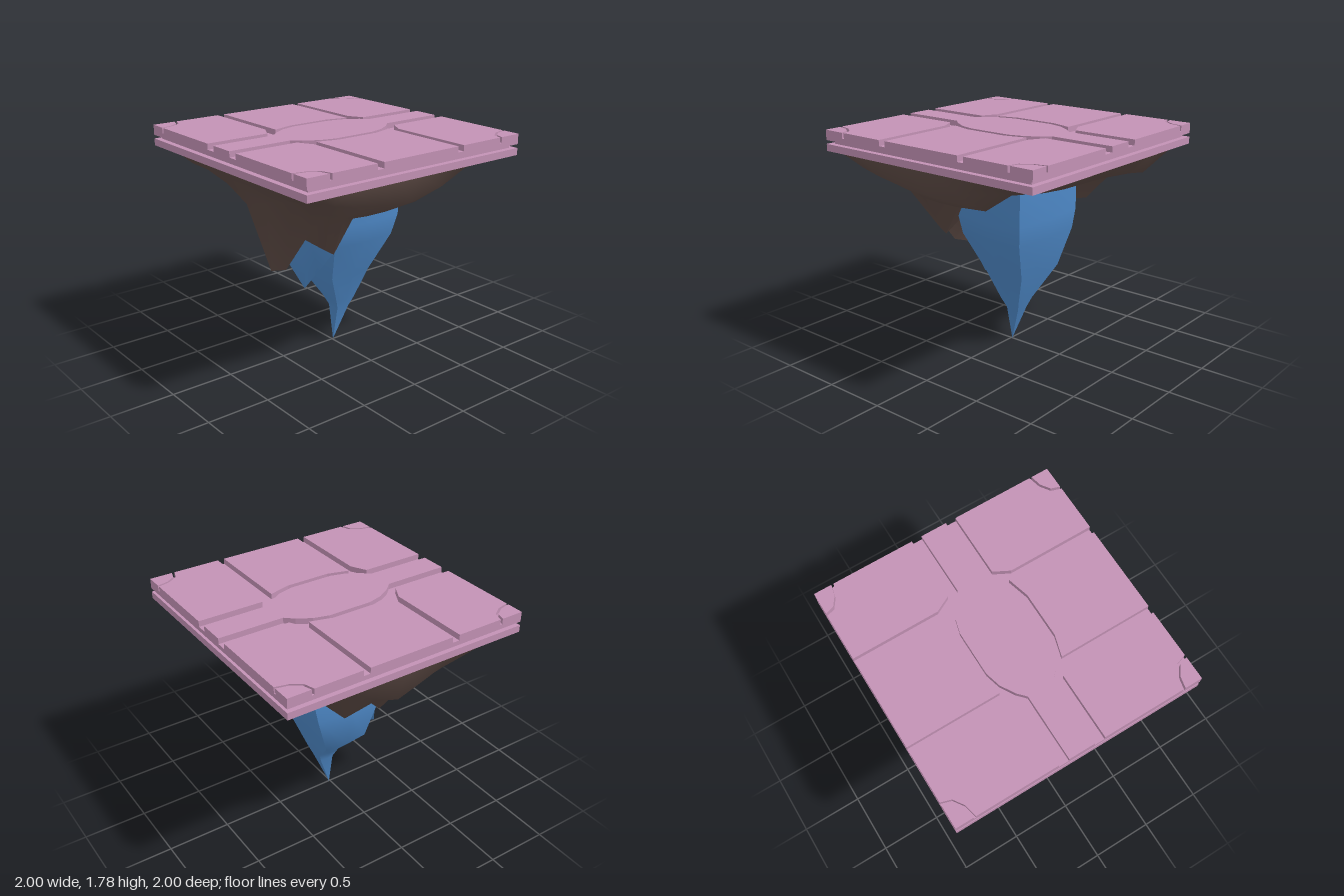
import * as THREE from 'three';
import { toCreasedNormals } from 'three/addons/utils/BufferGeometryUtils.js';

const stone = new THREE.MeshStandardMaterial({ color: 0xc392b5 });
const rock = new THREE.MeshStandardMaterial({ color: 0x5f4c46, side: THREE.DoubleSide });
const crystal = new THREE.MeshStandardMaterial({ color: 0x4f8bcb, side: THREE.DoubleSide });

const TOP = 1.785, GROOVE = 1.74, RIM = 1.62;

function add(group, name, geometry, material) {
  const mesh = new THREE.Mesh(geometry, material);
  mesh.name = name;
  group.add(mesh);
}

// Square layer between two heights
function slab(half, y0, y1) {
  return new THREE.BoxGeometry(half * 2, y1 - y0, half * 2).translate(0, (y0 + y1) / 2, 0);
}

// Raised paving stone from an outline of [x, z] points, mirrored by sx and sz
function paver(points, sx = 1, sz = 1) {
  const shape = new THREE.Shape(points.map(([x, z]) => new THREE.Vector2(x * sx, z * sz)));
  return new THREE.ExtrudeGeometry(shape, { depth: TOP - GROOVE, bevelEnabled: false })
    .rotateX(Math.PI / 2).translate(0, TOP, 0);
}

// Surface through a grid of points; rows may wrap round into a ring
function skin(rows, wrap, flip, crease) {
  const n = rows[0].length, index = [];
  for (let i = 0; i < rows.length - 1; i++) {
    for (let j = 0; j < (wrap ? n : n - 1); j++) {
      const k = (j + 1) % n;
      const a = i * n + j, b = i * n + k, c = a + n, d = b + n;
      if (flip) index.push(a, c, b, b, c, d);
      else index.push(a, b, c, b, d, c);
    }
  }
  const g = new THREE.BufferGeometry();
  g.setAttribute('position', new THREE.Float32BufferAttribute(rows.flat(2), 3));
  g.setIndex(index);
  return toCreasedNormals(g, crease);
}

// Crystal from rings of [y, xMin, xMax, zMin, zMax], top to tip;
// a roundness below 1 pushes the rings towards squares
function shard(rings, sides, roundness) {
  const bulge = (v) => Math.sign(v) * Math.abs(v) ** roundness;
  const rows = rings.map(([y, x0, x1, z0, z1]) =>
    Array.from({ length: sides }, (_, i) => {
      const t = (i / sides) * Math.PI * 2;
      return [
        (x0 + x1) / 2 + bulge(Math.cos(t)) * (x1 - x0) / 2, y,
        (z0 + z1) / 2 + bulge(Math.sin(t)) * (z1 - z0) / 2,
      ];
    }));
  return skin(rows, true, false, 1);
}

function buildPlatform() {
  const g = new THREE.Group();
  g.name = 'platform';
  add(g, 'lowerSlab', slab(1, RIM, 1.675), stone);
  add(g, 'recessedLayer', slab(0.955, 1.675, 1.705), stone);
  add(g, 'upperSlab', slab(1, 1.705, GROOVE), stone);

  // Central path with an oval in the middle
  const edge = [[0.105, -1], [0.105, -0.475], [0.165, -0.41], [0.23, -0.3], [0.262, -0.18],
    [0.262, 0.18], [0.23, 0.3], [0.165, 0.41], [0.105, 0.475], [0.105, 1]];
  const mirrored = edge.map(([x, z]) => [-x, z]).reverse();
  add(g, 'centrePath', paver([...edge, ...mirrored]), stone);

  const sideStone = [[1, -0.355], [0.257, -0.355], [0.305, -0.18], [0.305, 0.18],
    [0.257, 0.35], [1, 0.35]];
  const quarterStone = [[0.187, 1], [0.187, 0.475], [0.31, 0.41], [1, 0.41], [1, 0.795],
    [0.92, 0.82], [0.865, 0.9], [0.842, 1]];
  const cornerStone = [[1, 1], [1, 0.815], [0.93, 0.838], [0.88, 0.91], [0.86, 1]];
  for (const sx of [-1, 1]) {
    add(g, 'sideStone', paver(sideStone, sx), stone);
    for (const sz of [-1, 1]) {
      add(g, 'quarterStone', paver(quarterStone, sx, sz), stone);
      add(g, 'cornerStone', paver(cornerStone, sx, sz), stone);
    }
  }
  return g;
}

// Jagged underside, hollow around the crystal: heights of a coarse grid with a flat rim
function buildRock() {
  const xs = [-0.955, -0.86, -0.62, -0.42, -0.1, 0.1, 0.42, 0.64, 0.91, 0.955];
  const zs = [0.95, 0.88, 0.7, 0.53, 0.4, 0.32, 0.18, 0, -0.29, -0.53, -0.82, -0.945];
  const heights = [
    [1.57, 1.53, 1.53, 1.53, 1.53, 1.53, 1.53, 1.58],
    [1.50, 1.43, 1.38, 1.35, 1.35, 1.43, 1.46, 1.52],
    [1.47, 1.33, 1.18, 0.71, 0.78, 1.18, 1.36, 1.48],
    [1.45, 1.23, 1.05, 1.02, 1.02, 1.00, 1.31, 1.46],
    [1.43, 1.19, 1.00, 1.12, 1.12, 0.95, 1.29, 1.45],
    [1.38, 1.18, 0.92, 1.25, 1.25, 1.20, 1.28, 1.43],
    [1.32, 1.18, 1.10, 1.38, 1.40, 1.42, 1.28, 1.42],
    [1.45, 1.13, 1.32, 1.50, 1.52, 1.54, 1.30, 1.48],
    [1.54, 1.38, 1.44, 1.50, 1.53, 1.57, 1.46, 1.58],
    [1.56, 1.43, 1.46, 1.49, 1.50, 1.51, 1.53, 1.60],
  ];
  const rows = zs.map((z, i) => xs.map((x, j) =>
    [x, heights[i - 1]?.[j - 1] ?? RIM, z]));
  return skin(rows, false, true, 1);
}

export function createModel() {
  const model = new THREE.Group();
  model.name = 'floatingIslandTile';
  model.add(buildPlatform());
  add(model, 'rockUnderside', buildRock(), rock);

  // Large hanging crystal with a smaller spike in front
  const crystals = new THREE.Group();
  crystals.name = 'crystals';
  model.add(crystals);
  add(crystals, 'mainCrystal', shard([
    [1.6, -0.38, 0.4, -0.42, 0.28],
    [1.12, -0.39, 0.4, -0.41, 0.28],
    [0.95, -0.39, 0.36, -0.375, 0.26],
    [0.62, -0.33, 0.19, -0.26, 0.15],
    [0.38, -0.09, 0.105, -0.165, 0.04],
    [0.3, -0.055, 0.07, -0.13, 0],
    [0, 0, 0, -0.01, -0.01],
  ], 8, 0.3), crystal);
  add(crystals, 'frontSpike', shard([
    [1.2, -0.36, 0.36, 0, 0.35],
    [0.93, -0.33, 0.31, 0.08, 0.34],
    [0.7, -0.27, 0.13, 0.18, 0.31],
    [0.53, 0, 0, 0.28, 0.28],
  ], 6, 0.8), crystal);
  return model;
}
